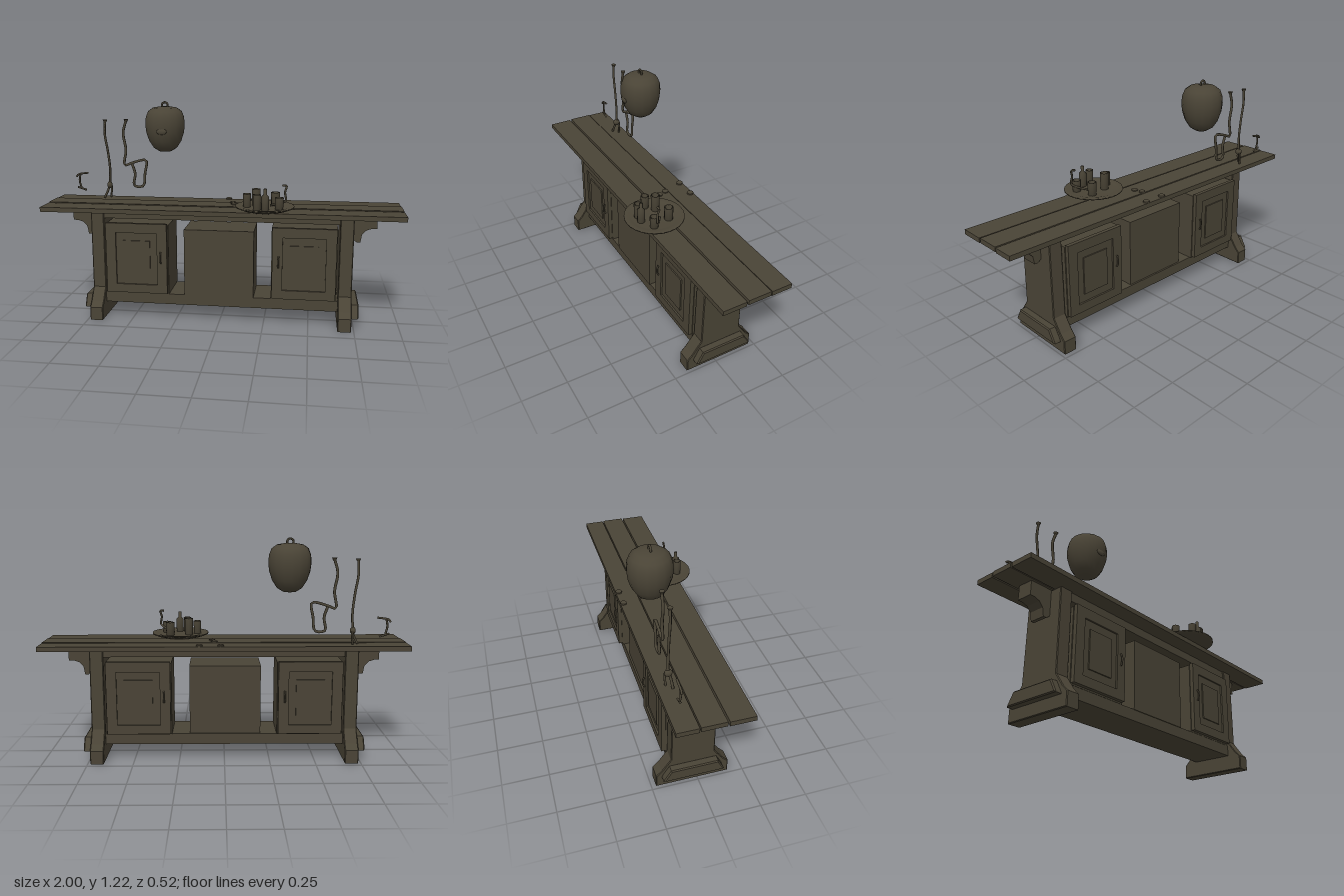
import * as THREE from 'three';

const wood = new THREE.MeshStandardMaterial({ color: 0x4a4436 });
wood.name = 'darkWood';

export function createModel() {
  const model = new THREE.Group();
  model.name = 'workbench';

  const add = (name, geometry, x = 0, y = 0, z = 0, parent = model) => {
    const mesh = new THREE.Mesh(geometry, wood);
    mesh.name = name;
    mesh.position.set(x, y, z);
    parent.add(mesh);
    return mesh;
  };
  // box given by its limits
  const box = (name, x0, x1, y0, y1, z0, z1, parent = model) =>
    add(name, new THREE.BoxGeometry(x1 - x0, y1 - y0, z1 - z0),
      (x0 + x1) / 2, (y0 + y1) / 2, (z0 + z1) / 2, parent);
  const shapeOf = (pts) => new THREE.Shape(pts.map(([a, b]) => new THREE.Vector2(a, b)));
  // side profile in (z, y), running from x0 to x1
  const sideSlab = (name, pts, x0, x1, bevel = 0) => {
    const geo = new THREE.ExtrudeGeometry(shapeOf(pts), {
      depth: x1 - x0 - 2 * bevel, bevelEnabled: bevel > 0, bevelSize: bevel,
      bevelThickness: bevel, bevelOffset: -bevel, bevelSegments: 1,
    });
    geo.rotateY(-Math.PI / 2);
    return add(name, geo, x1 - bevel);
  };
  const rod = (name, pts, r, parent = model) => {
    const curve = new THREE.CatmullRomCurve3(pts.map((p) => new THREE.Vector3(...p)));
    return add(name, new THREE.TubeGeometry(curve, pts.length * 4, r, 6), 0, 0, 0, parent);
  };

  // table top planks
  [[-0.212, -0.1], [-0.095, 0.032], [0.042, 0.172]].forEach(([z0, z1], i) =>
    box('topPlank', -1, 1, 0.626 + (i % 2) * 0.003, 0.652 + (i % 2) * 0.003, z0, z1));

  // rails between the legs
  box('topRail', -0.67, 0.67, 0.58, 0.627, -0.13, 0.08);
  box('bottomShelf', -0.67, 0.67, 0.087, 0.147, -0.14, 0.09);

  // legs, foot plates and brackets
  const legProfile = [[0.17, 0], [0.17, 0.075], [0.14, 0.105], [0.09, 0.175], [0.088, 0.627],
    [-0.142, 0.627], [-0.146, 0.175], [-0.195, 0.105], [-0.225, 0.075], [-0.225, 0]];
  const plateProfile = [[0.135, 0.065], [0.13, 0.078], [0.1, 0.135], [-0.155, 0.135],
    [-0.19, 0.078], [-0.195, 0.065]];
  for (const s of [-1, 1]) {
    const span = (a, b) => (s > 0 ? [a, b] : [-b, -a]);
    sideSlab('leg', legProfile, ...span(0.66, 0.735), 0.004);
    sideSlab('footPlate', plateProfile, ...span(0.73, 0.775), 0.006);
    const bracket = shapeOf([[0.73, 0.627], [0.862, 0.627], [0.862, 0.55], [0.835, 0.55],
      [0.805, 0.54], [0.782, 0.515], [0.774, 0.47], [0.755, 0.47], [0.73, 0.49]]
      .map(([x, y]) => [s * x, y]));
    add('bracket', new THREE.ExtrudeGeometry(bracket, { depth: 0.088, bevelEnabled: false }), 0, 0, -0.068);
  }

  // middle chest
  box('middleChest', -0.2, 0.192, 0.145, 0.53, -0.13, 0.095);

  // side cupboards with panelled doors on both faces
  for (const s of [-1, 1]) {
    const cupboard = new THREE.Group();
    cupboard.name = 'cupboard';
    cupboard.position.x = s * 0.47;
    model.add(cupboard);
    box('cupboardBody', -0.18, 0.18, 0.147, 0.55, -0.15, 0.092, cupboard);
    for (const f of [-1, 1]) {
      const base = f > 0 ? 0.092 : -0.15;
      const layer = (name, w, y0, y1, a, b) => box(name, -w, w, y0, y1,
        Math.min(base + f * a, base + f * b), Math.max(base + f * a, base + f * b), cupboard);
      // door frame, raised centre panel
      const frame = new THREE.Shape();
      frame.moveTo(-0.175, 0.155).lineTo(0.175, 0.155).lineTo(0.175, 0.56).lineTo(-0.175, 0.56).closePath();
      frame.holes.push(new THREE.Path([[-0.118, 0.205], [-0.118, 0.505], [0.118, 0.505], [0.118, 0.205]]
        .map((p) => new THREE.Vector2(...p))));
      add('doorFrame', new THREE.ExtrudeGeometry(frame, { depth: 0.022, bevelEnabled: false }),
        0, 0, f > 0 ? base : base - 0.022, cupboard);
      layer('doorPanel', 0.12, 0.2, 0.51, 0, 0.012);
      layer('panelCentre', 0.078, 0.25, 0.46, 0.01, 0.019);
      const hx = -s * 0.14;
      const hz = base + f * 0.024;
      rod('doorHandle', [[hx, 0.335, hz], [hx, 0.35, hz + f * 0.008], [hx, 0.385, hz + f * 0.008],
        [hx, 0.4, hz]], 0.005, cupboard);
    }
  }

  // hanging pot with a ring
  const potProfile = [[0, 0.935], [0.035, 0.939], [0.068, 0.96], [0.094, 1.0], [0.11, 1.05],
    [0.115, 1.095], [0.111, 1.135], [0.098, 1.168], [0.07, 1.188], [0.03, 1.195], [0, 1.195]];
  add('hangingPot', new THREE.LatheGeometry(potProfile.map((p) => new THREE.Vector2(...p)), 16), -0.347, 0, -0.143);
  add('potRing', new THREE.TorusGeometry(0.017, 0.006, 6, 14), -0.347, 1.202, -0.143);
  const dent = add('potMark', new THREE.SphereGeometry(0.03, 10, 6), -0.345, 1.06, -0.036);
  dent.scale.set(1, 0.6, 0.25);

  // thin hooks and rods over the top
  const z = -0.153;
  const flat = (pts) => pts.map(([x, y, dz = 0]) => [x, y, z + dz]);
  rod('longRod', flat([[-0.708, 1.11], [-0.712, 1.03], [-0.697, 0.93], [-0.687, 0.82],
    [-0.692, 0.74], [-0.7, 0.7, 0.01], [-0.722, 0.655, 0.015]]), 0.007);
  rod('rodFoot', flat([[-0.692, 0.76], [-0.685, 0.72, -0.015], [-0.69, 0.655, -0.013]]), 0.006);
  add('rodKnot', new THREE.SphereGeometry(0.02, 8, 6), -0.692, 0.73, z).scale.set(0.8, 1, 1.1);
  rod('hookRod', flat([[-0.582, 1.112], [-0.601, 1.04], [-0.587, 0.94], [-0.597, 0.85],
    [-0.55, 0.865], [-0.468, 0.88], [-0.476, 0.8], [-0.488, 0.728], [-0.542, 0.73],
    [-0.535, 0.8], [-0.553, 0.86]]), 0.008);
  for (const [x, y] of [[-0.708, 1.108], [-0.582, 1.112]]) {
    add('rodCap', new THREE.CylinderGeometry(0.014, 0.008, 0.014, 8), x, y, z);
  }
  rod('smallHook', flat([[-0.895, 0.775], [-0.885, 0.788], [-0.82, 0.8]]), 0.006);
  rod('smallHook', flat([[-0.872, 0.79], [-0.878, 0.75], [-0.868, 0.71]]), 0.006);
  rod('smallHook', flat([[-0.89, 0.712], [-0.865, 0.705], [-0.835, 0.695]]), 0.006);

  // round tray
  const tray = [[0, 0.652], [0.1, 0.654], [0.135, 0.664], [0.16, 0.674], [0.16, 0.681],
    [0.13, 0.678], [0.11, 0.672], [0, 0.672]].map((p) => new THREE.Vector2(...p));
  add('tray', new THREE.LatheGeometry(tray, 28), 0.25, 0, 0.1);

  // cups on the tray: x, z, radius, top
  for (const [x, cz, r, top] of [[0.2, 0.066, 0.024, 0.765], [0.305, 0.045, 0.025, 0.745],
    [0.153, 0.104, 0.022, 0.745], [0.213, 0.177, 0.022, 0.755], [0.33, 0.145, 0.024, 0.735]]) {
    const cup = [[0, 0.67], [r * 0.9, 0.67], [r, top], [r * 0.75, top], [r * 0.7, 0.69], [0, 0.69]];
    add('cup', new THREE.LatheGeometry(cup.map((p) => new THREE.Vector2(...p)), 12), x, 0, cz);
  }
  const bottle = [[0, 0.67], [0.02, 0.67], [0.021, 0.745], [0.009, 0.757], [0.009, 0.787], [0, 0.787]];
  add('bottle', new THREE.LatheGeometry(bottle.map((p) => new THREE.Vector2(...p)), 12), 0.257, 0, 0.182);
  rod('ladle', [[0.28, 0.68, 0.085], [0.335, 0.7, 0.12], [0.365, 0.72, 0.145], [0.36, 0.765, 0.143],
    [0.368, 0.8, 0.138], [0.345, 0.798, 0.135]], 0.006);

  // loose discs on the top
  for (const [x, dz] of [[0.02, -0.195], [0.135, -0.195], [0.055, -0.08], [0.068, -0.035]]) {
    add('disc', new THREE.CylinderGeometry(0.018, 0.018, 0.008, 10), x, 0.657, dz);
  }
  return model;
}
